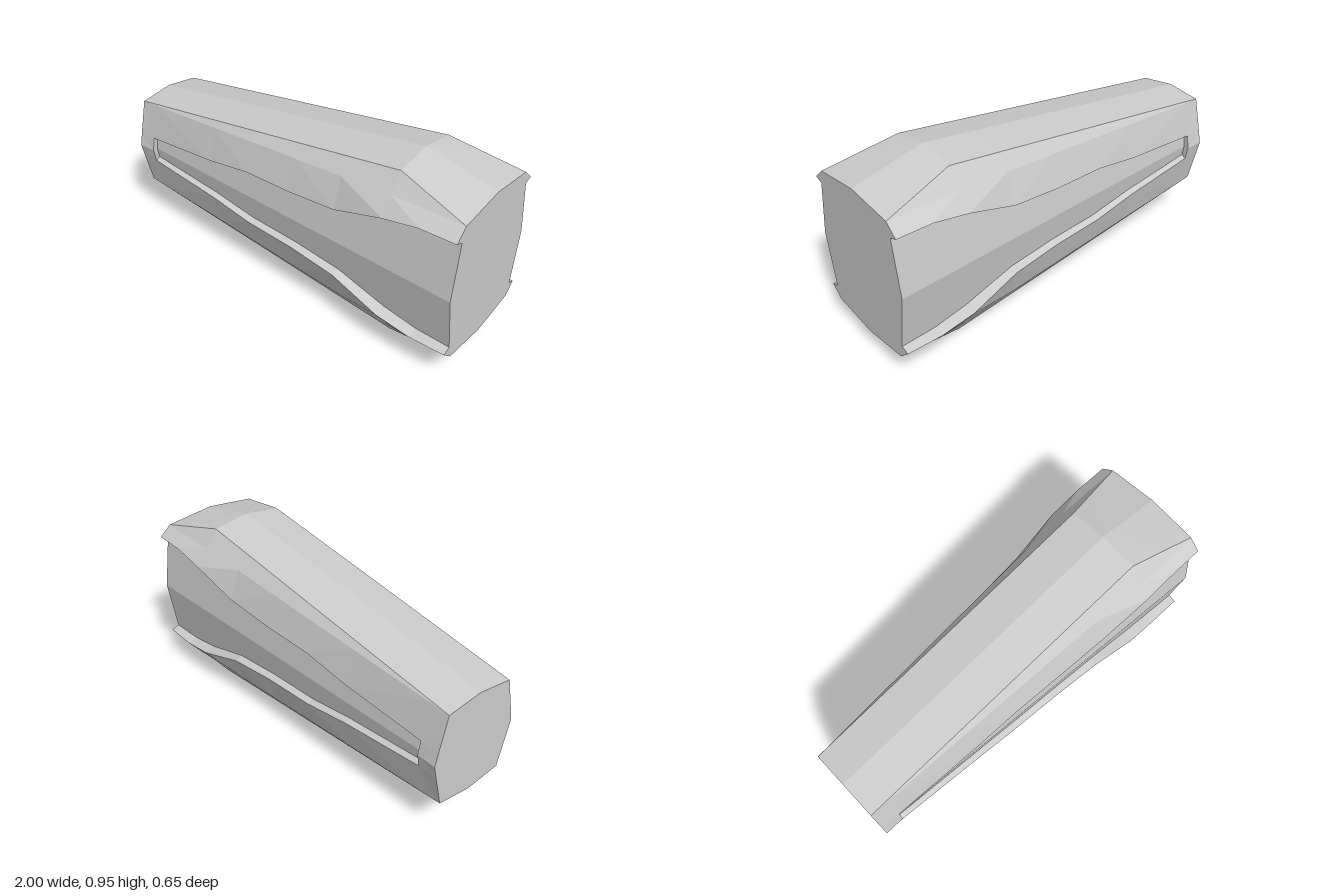
import * as THREE from 'three';

const MID = 0.475; // height of the long axis

// Linear lookup through [x, value] pairs
function at(x, pairs) {
  for (let i = 1; i < pairs.length; i++) {
    const [x0, v0] = pairs[i - 1], [x1, v1] = pairs[i];
    if (x <= x1) return v0 + ((v1 - v0) * (x - x0)) / (x1 - x0);
  }
  return pairs[pairs.length - 1][1];
}

// Upper quarter of a cross-section as [z, height above axis]
function quarter(x, lipY, lipZ, recessed) {
  const top = at(x, [[-1, 0.27], [0.64, 0.474], [1, 0.385]]);
  const edge = [at(x, [[-1, 0.185], [0.64, 0.195], [1, 0.262]]), at(x, [[-1, 0.245], [0.64, 0.445], [1, 0.355]])];
  const shoulder = [at(x, [[-1, 0.185], [0.64, 0.262], [1, 0.262]]), at(x, [[-1, 0.245], [0.64, 0.355], [1, 0.355]])];
  const midZ = recessed ? 0.325 - 0.058 * (1 - x) : 0.243;
  const inY = lipY - 0.015;
  const inZ = recessed ? midZ - 0.15 * inY : lipZ + (midZ - lipZ) * (1 - inY / lipY);
  return [[0, top], edge, shoulder, [lipZ, lipY], [inZ, inY], [midZ, 0]];
}

// Mirror the quarter into a full ring of 20 points
function ring(x, lipY, lipZ, recessed) {
  const q = quarter(x, lipY, lipZ, recessed);
  const half = [...q, ...q.slice(0, 5).reverse().map(([z, y]) => [z, -y])];
  const other = half.slice(1, -1).reverse().map(([z, y]) => [-z, y]);
  return [...half, ...other].map(([z, y]) => new THREE.Vector3(x, MID + y, z));
}

function addTriangle(out, a, b, c) {
  const area = b.clone().sub(a).cross(c.clone().sub(a)).length();
  if (area > 1e-7) for (const p of [a, b, c]) out.push(p.x, p.y, p.z);
}

function addCap(out, points, flip) {
  const outline = points.map((p) => new THREE.Vector2(-p.z, p.y));
  for (const [a, b, c] of THREE.ShapeUtils.triangulateShape(outline, [])) {
    if (flip) addTriangle(out, points[a], points[c], points[b]);
    else addTriangle(out, points[a], points[b], points[c]);
  }
}

function makeMesh(name, positions) {
  const geometry = new THREE.BufferGeometry();
  geometry.setAttribute('position', new THREE.Float32BufferAttribute(positions, 3));
  geometry.computeVertexNormals();
  const mesh = new THREE.Mesh(geometry, new THREE.MeshStandardMaterial({ color: 0xcccccc, flatShading: true }));
  mesh.name = name;
  return mesh;
}

export function createModel() {
  // Stations: x, lip height, lip half-width, recessed panel or plain
  const rings = [
    [-1, 0.07, 0.227, false],
    [-0.9, 0.07, 0.23, false],
    [-0.9, 0.07, 0.23, true],
    [-0.45, 0.11, 0.255, true],
    [-0.19, 0.15, 0.268, true],
    [0.1, 0.16, 0.285, true],
    [0.37, 0.187, 0.303, true],
    [0.64, 0.27, 0.325, true],
    [0.82, 0.3, 0.325, true],
    [1, 0.3, 0.325, true],
  ].map((s) => ring(...s));

  const shell = [], leftPanel = [], rightPanel = [], narrowEnd = [], wideEnd = [];
  for (let i = 0; i < rings.length - 1; i++) {
    const a = rings[i], b = rings[i + 1], n = a.length;
    for (let j = 0; j < n; j++) {
      const k = (j + 1) % n;
      let out = shell;
      if (i > 1 && (j === 4 || j === 5)) out = leftPanel;
      if (i > 1 && (j === 14 || j === 15)) out = rightPanel;
      // Split each quad the same way on every mirrored quarter
      if (j % 10 < 5) {
        addTriangle(out, a[j], a[k], b[k]);
        addTriangle(out, a[j], b[k], b[j]);
      } else {
        addTriangle(out, a[j], a[k], b[j]);
        addTriangle(out, a[k], b[k], b[j]);
      }
    }
  }
  addCap(narrowEnd, rings[0], true);
  addCap(wideEnd, rings[rings.length - 1], false);

  const model = new THREE.Group();
  model.name = 'taperedHandle';
  model.add(
    makeMesh('outerShell', shell),
    makeMesh('frontSidePanel', leftPanel),
    makeMesh('backSidePanel', rightPanel),
    makeMesh('narrowEndCap', narrowEnd),
    makeMesh('wideEndCap', wideEnd),
  );
  return model;
}
